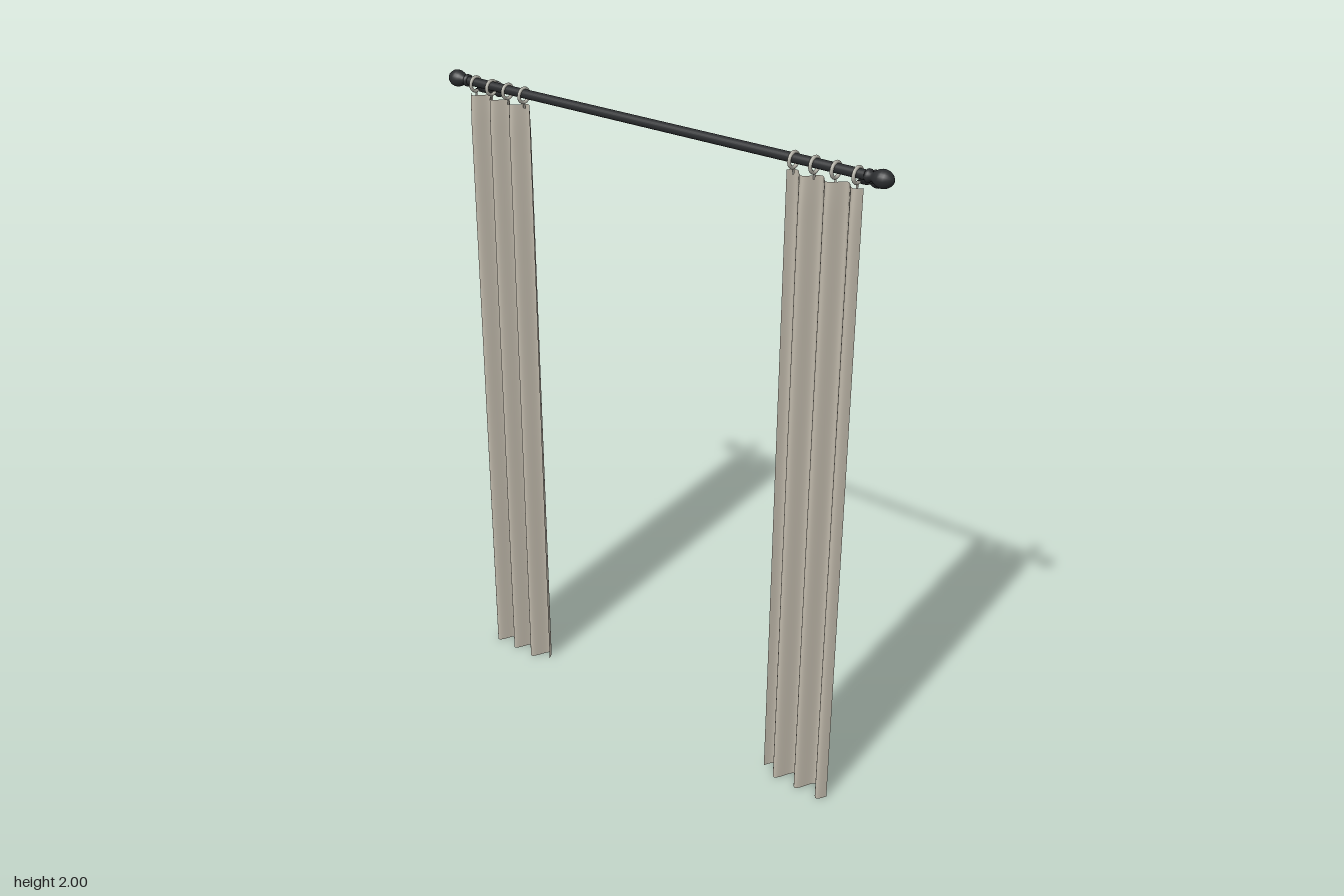
import * as THREE from 'three';

const ROD_Y = 1.975, ROD_Z = 0.032;
const material = (color, side = THREE.FrontSide) => new THREE.MeshStandardMaterial({ color, side });

function addMesh(parent, name, geometry, mat, x = 0, y = 0, z = 0) {
  const mesh = new THREE.Mesh(geometry, mat);
  mesh.name = name;
  mesh.position.set(x, y, z);
  parent.add(mesh);
  return mesh;
}

// Pleated cloth: three soft folds, pinched towards the heading band
function curtainGeometry(side) {
  const width = 0.235, height = 1.94, band = 1.86;
  const geo = new THREE.PlaneGeometry(width, height, 72, 48);
  const pos = geo.attributes.position;
  for (let i = 0; i < pos.count; i++) {
    const x = pos.getX(i), y = pos.getY(i) + height / 2;
    const t = side * x / width + 0.5;
    const depth = y > band
      ? THREE.MathUtils.mapLinear(y, band, height, 0.021, 0.017)
      : THREE.MathUtils.mapLinear(y, 0, band, 0.028, 0.021);
    pos.setXYZ(i, x, y, 0.033 - depth * Math.sin(6 * Math.PI * t));
  }
  geo.computeVertexNormals();
  return geo;
}

export function createModel() {
  const model = new THREE.Group();
  model.name = 'curtainsOnRod';
  const iron = material(0x2b2d2f);
  const ringMetal = material(0xb4b2a8);
  const cloth = material(0xbfb8aa, THREE.DoubleSide);

  // Rod
  const rodGeo = new THREE.CylinderGeometry(0.0135, 0.0135, 1.4, 24).rotateZ(Math.PI / 2);
  addMesh(model, 'rod', rodGeo, iron, 0, ROD_Y, ROD_Z);

  // Finial profile: radius, distance from the rod end
  const finialProfile = [
    [0, 0], [0.014, 0], [0.018, 0.004], [0.018, 0.011], [0.013, 0.015], [0.012, 0.02],
    [0.016, 0.025], [0.021, 0.033], [0.0245, 0.043], [0.025, 0.051], [0.023, 0.061],
    [0.017, 0.071], [0.009, 0.078], [0, 0.081],
  ].map(([r, h]) => new THREE.Vector2(r, h));
  const finialGeo = new THREE.LatheGeometry(finialProfile, 24);

  const ringGeo = new THREE.TorusGeometry(0.0205, 0.005, 10, 28).rotateY(Math.PI / 2);
  const clipGeo = new THREE.CylinderGeometry(0.003, 0.003, 0.016, 8);

  // Bracket arm, sagging from under the rod back to the wall plate
  const armGeo = new THREE.TubeGeometry(new THREE.CatmullRomCurve3([
    new THREE.Vector3(0, 1.962, 0.03), new THREE.Vector3(0, 1.95, 0.016),
    new THREE.Vector3(0, 1.94, -0.008), new THREE.Vector3(0, 1.935, -0.034),
    new THREE.Vector3(0, 1.935, -0.055),
  ]), 24, 0.006, 10);
  const plateGeo = new THREE.CylinderGeometry(0.016, 0.025, 0.006, 24).rotateX(Math.PI / 2);

  for (const side of [-1, 1]) {
    const half = new THREE.Group();
    half.name = side > 0 ? 'leftHalf' : 'rightHalf';
    model.add(half);

    const finial = addMesh(half, 'finial', finialGeo, iron, side * 0.695, ROD_Y, ROD_Z);
    finial.rotation.z = -side * Math.PI / 2;

    const bracket = new THREE.Group();
    bracket.name = 'wallBracket';
    bracket.position.x = side * 0.67;
    half.add(bracket);
    addMesh(bracket, 'bracketArm', armGeo, iron);
    addMesh(bracket, 'wallPlate', plateGeo, iron, 0, 1.935, -0.057);

    for (let i = 0; i < 4; i++) {
      const x = side * (0.475 + i * 0.065);
      addMesh(half, 'curtainRing', ringGeo, ringMetal, x, 1.97, ROD_Z);
      addMesh(half, 'ringClip', clipGeo, ringMetal, x, 1.939, ROD_Z);
    }

    addMesh(half, 'curtain', curtainGeometry(side), cloth, side * 0.5725);
  }
  return model;
}
